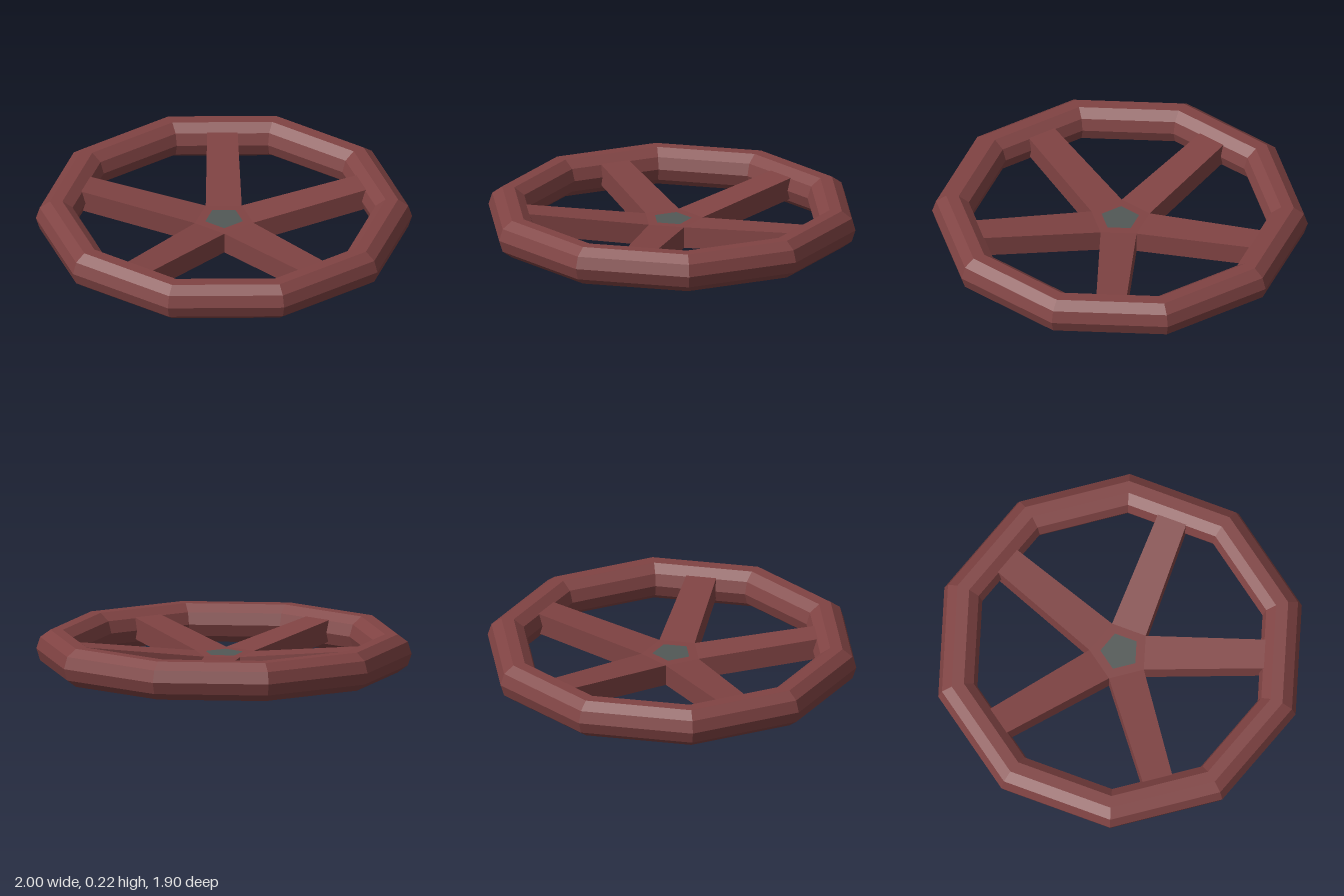
import * as THREE from 'three';

const HUB_R = 0.163, HUB_TOP = 0.115, CAP_R = 0.105;

const paint = (color) => new THREE.MeshStandardMaterial({ color, flatShading: true });

// Tapered beam along +z that climbs from the hub up into the rim
function spokeGeometry() {
  const inner = HUB_R * Math.cos(Math.PI / 5);
  const innerHalf = HUB_R * Math.sin(Math.PI / 5);
  const geo = new THREE.BoxGeometry(2, 1, 1);
  const p = geo.attributes.position;
  for (let i = 0; i < p.count; i++) {
    const out = p.getZ(i) > 0;
    const y = (p.getY(i) > 0 ? HUB_TOP : 0) + (out ? 0.08 : 0);
    p.setXYZ(i, p.getX(i) * (out ? 0.08 : innerHalf), y, out ? 0.82 : inner);
  }
  geo.computeVertexNormals();
  return geo;
}

export function createModel() {
  const model = new THREE.Group();
  const red = paint(0x804343), grey = paint(0x525856);

  const add = (name, geo, material, parent = model) => {
    const mesh = new THREE.Mesh(geo, material);
    mesh.name = name;
    parent.add(mesh);
    return mesh;
  };

  // Ten-sided rim with a ten-sided section
  add('rim', new THREE.TorusGeometry(0.892, 0.108, 10, 10).rotateX(Math.PI / 2), red)
    .position.y = 0.122;

  // Five spokes, the first pointing to the front
  const spokes = new THREE.Group();
  spokes.name = 'spokes';
  model.add(spokes);
  const spokeGeo = spokeGeometry();
  for (let i = 0; i < 5; i++) {
    add('spoke', spokeGeo, red, spokes).rotation.y = (i * Math.PI * 2) / 5;
  }

  // Pentagonal hub: top collar, grey centre cap and underside
  const hub = new THREE.Group();
  hub.name = 'hub';
  model.add(hub);
  const up = -Math.PI / 2;
  add('hubCollar', new THREE.RingGeometry(CAP_R, HUB_R, 5, 1, Math.PI / 2).rotateX(up), red, hub)
    .position.y = HUB_TOP;
  add('hubCap', new THREE.CircleGeometry(CAP_R, 5, Math.PI / 2).rotateX(up), grey, hub)
    .position.y = HUB_TOP;
  add('hubUnderside', new THREE.CircleGeometry(HUB_R, 5, -Math.PI / 2).rotateX(-up), red, hub);

  return model;
}
